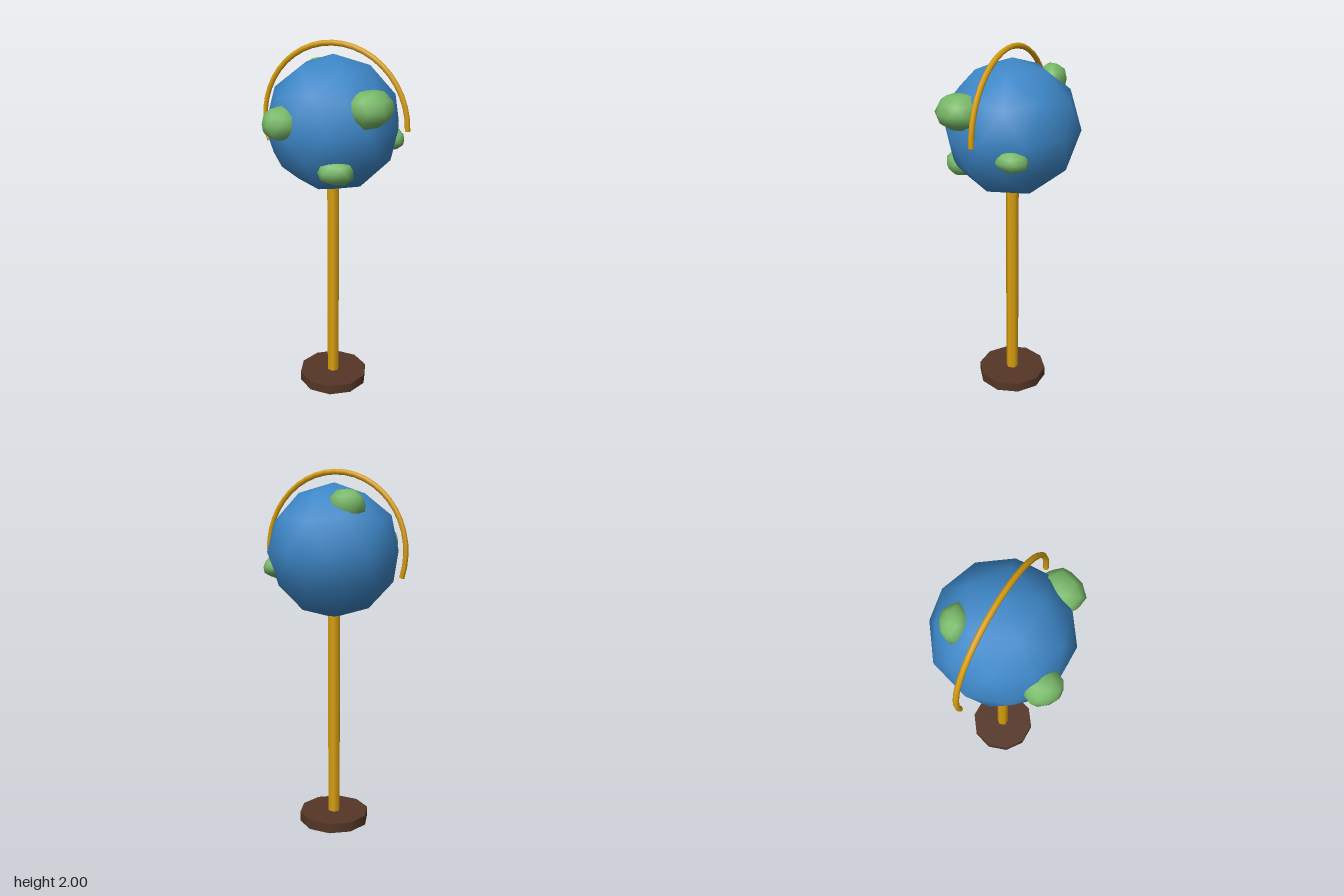
import * as THREE from 'three';
import { mergeVertices } from 'three/addons/utils/BufferGeometryUtils.js';

const CENTRE_Y = 1.565;
const RADIUS = 0.365;
const POLE_TILT = Math.atan(2 / (1 + Math.sqrt(5))); // brings an icosahedron corner to the top

const material = (color) => new THREE.MeshStandardMaterial({ color });

function part(parent, name, geometry, mat, x = 0, y = 0, z = 0) {
  const mesh = new THREE.Mesh(geometry, mat);
  mesh.name = name;
  mesh.position.set(x, y, z);
  parent.add(mesh);
  return mesh;
}

// Low-poly ball with a corner at each pole and a ten-sided equator
const ball = (radius) => new THREE.IcosahedronGeometry(radius, 1).rotateZ(-POLE_TILT);

// Slightly uneven, squashed ball for a land mass
function landGeometry(rx, ry, rz, seed) {
  let geometry = ball(1);
  geometry.deleteAttribute('normal');
  geometry.deleteAttribute('uv');
  geometry = mergeVertices(geometry, 1e-3);
  const pos = geometry.attributes.position;
  const v = new THREE.Vector3();
  for (let i = 0; i < pos.count; i++) {
    v.fromBufferAttribute(pos, i).multiplyScalar(1 + 0.06 * Math.sin(i * 2.4 + seed * 1.7));
    pos.setXYZ(i, v.x * rx, v.y * ry, v.z * rz);
  }
  geometry.computeVertexNormals();
  return geometry;
}

export function createModel() {
  const model = new THREE.Group();
  model.name = 'globeOnStand';
  const gold = material(0xdaa010);
  const green = material(0x78b868);

  // Stand
  part(model, 'base', new THREE.CylinderGeometry(0.2, 0.2, 0.055, 10), material(0x553626), 0, 0.0275, 0);
  part(model, 'pole', new THREE.CylinderGeometry(0.036, 0.036, 1.17, 6), gold, 0, 0.625, 0);

  // Globe
  const globe = new THREE.Group();
  globe.name = 'globe';
  globe.position.y = CENTRE_Y;
  model.add(globe);
  part(globe, 'ocean', ball(RADIUS), material(0x3d87c8));

  // Land masses: centre, then half sizes
  const lands = [
    [0.205, 0.125, 0.23, 0.122, 0.1, 0.127],
    [-0.24, 0.045, 0.23, 0.103, 0.088, 0.106],
    [0.04, -0.185, 0.265, 0.1, 0.074, 0.09],
    [0.315, -0.085, -0.043, 0.07, 0.06, 0.087],
    [-0.095, 0.245, -0.2, 0.095, 0.084, 0.073],
  ];
  lands.forEach(([x, y, z, rx, ry, rz], i) => {
    part(globe, `land${i + 1}`, landGeometry(rx, ry, rz, i), green, x, y, z);
  });

  // Meridian arc, a little over half a circle
  const arc = part(globe, 'meridianArc', new THREE.TorusGeometry(0.42, 0.0148, 6, 24, Math.PI * 1.1), gold);
  arc.rotation.y = THREE.MathUtils.degToRad(-20);

  // Caps closing the two ends of the arc
  for (const [name, angle, turn] of [['arcEndLeft', 0, 1], ['arcEndRight', Math.PI * 1.1, -1]]) {
    const cap = part(arc, name, new THREE.CircleGeometry(0.0148, 6), gold,
      0.42 * Math.cos(angle), 0.42 * Math.sin(angle), 0);
    cap.rotation.set(turn * Math.PI / 2, 0, angle, 'ZXY');
  }
  return model;
}
